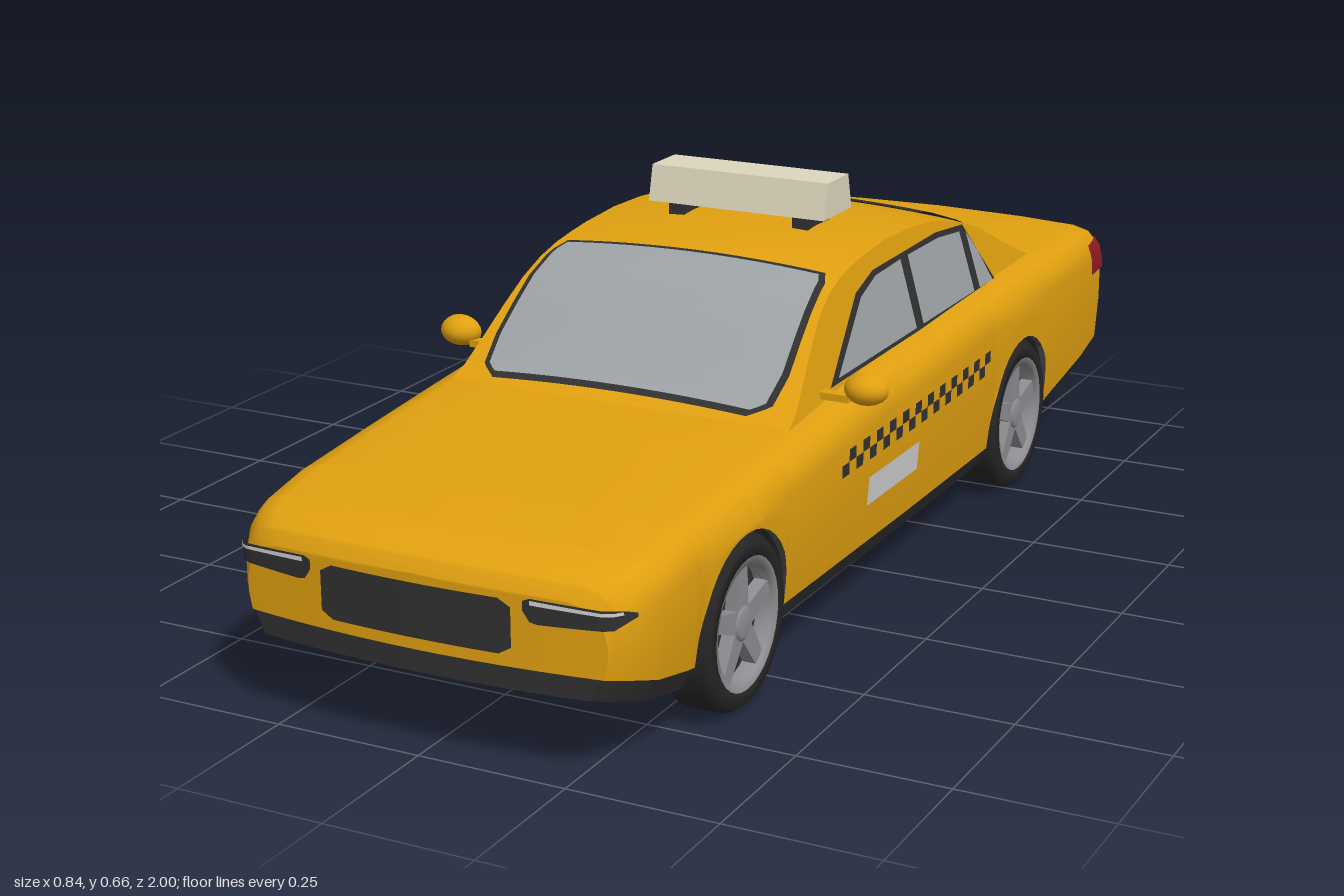
import * as THREE from 'three';

const mat = (name, color) => {
  const m = new THREE.MeshStandardMaterial({ color, side: THREE.DoubleSide });
  m.name = name;
  return m;
};

// Linear lookup in a table of [position, value], positions falling
function look(t, p) {
  if (p >= t[0][0]) return t[0][1];
  for (let i = 1; i < t.length; i++) {
    if (p >= t[i][0]) {
      const [a, b] = [t[i - 1], t[i]];
      return b[1] + (a[1] - b[1]) * (p - b[0]) / (a[0] - b[0] || 1);
    }
  }
  return t[t.length - 1][1];
}

// Surface through rows of points
function skin(rows) {
  const n = rows[0].length, idx = [];
  for (let i = 0; i < rows.length - 1; i++) for (let j = 0; j < n - 1; j++) {
    const a = i * n + j, b = a + n;
    idx.push(a, b, b + 1, a, b + 1, a + 1);
  }
  const g = new THREE.BufferGeometry();
  g.setAttribute('position', new THREE.Float32BufferAttribute(rows.flat(2), 3));
  g.setIndex(idx);
  g.computeVertexNormals();
  return g;
}
const steps = (n) => Array.from({ length: n + 1 }, (_, i) => i / n);
const sheet = (nu, nv, f) => skin(steps(nu).map(u => steps(nv).map(v => f(u, v))));

// Body measures along z
const WIDTH = [[1, .31], [.985, .325], [.965, .337], [.92, .35], [.8, .358], [.6, .363], [0, .367], [-.6, .365], [-.9, .36], [-1, .353]];
const TOP = [[1, .283], [.99, .303], [.965, .317], [.92, .328], [.8, .341], [.6, .355], [.4, .37], [.1, .39], [-.3, .399], [-.7, .405], [-.95, .402], [-1, .394]];
const BOTTOM = [[1, .135], [.9, .105], [.75, .082], [-.65, .08], [-1, .13]];
const SKIRT = [[1, .17], [.9, .142], [.75, .118], [-.65, .115], [-1, .17]];
const ROOF = [[.41, .37], [.35, .4], [.3, .44], [.25, .482], [.2, .52], [.15, .545], [.1, .56], [.05, .568], [0, .574], [-.1, .58], [-.2, .577], [-.3, .567], [-.4, .547], [-.5, .512], [-.6, .462], [-.68, .426], [-.76, .4]];
const AXLES = [.63, -.53], ARCH = .148, HUB = .14;

const archY = (s) => Math.max(0, ...AXLES.map(c => Math.abs(s - c) < .1478 ? HUB + Math.sqrt(ARCH ** 2 - (s - c) ** 2) : 0));
const skirtY = (s) => Math.max(look(SKIRT, s), archY(s));
const bottomY = (s) => Math.max(look(BOTTOM, s), archY(s));
// Bowed nose and tail
const bow = (s, x) => s - .25 * x * x * THREE.MathUtils.smoothstep(s, .78, .98) + .1 * x * x * THREE.MathUtils.smoothstep(-s, .85, .98);

// Half section of the painted body, from sill to centre line
function section(s) {
  const w = look(WIDTH, s), k = skirtY(s), t = look(TOP, s);
  const tuck = .012 * THREE.MathUtils.clamp((.22 - k) / .1, 0, 1);
  return [[w - tuck, k], [w, (k + t - .06) / 2], [w, t - .06], [w - .008, t - .03], [w - .028, t - .008], [w - .06, t], [w * .5, t + .004], [0, t + .006]]
    .map(([x, y]) => [x, Math.max(y, k)]);
}
const skirtSection = (s) => [[look(WIDTH, s) - .03, bottomY(s)], [look(WIDTH, s) - .012, skirtY(s)]];
const sideAt = (s, y) => look(section(s).map(([x, h]) => [h, x]).reverse(), y);
const full = (half) => [...half, ...half.slice(0, -1).reverse().map(([x, y]) => [-x, y])];
const cap = (half, s) => skin(half.map(([x, y]) => steps(12).map(u => [x * (2 * u - 1), y, bow(s, x * (2 * u - 1))])));

// Greenhouse surfaces
const pillarX = (y) => .305 - (y - .4) * .24;
const CROWN = .014;
const edgeX = (z) => pillarX(look(ROOF, z) - CROWN);
const roofAt = (z, x) => look(ROOF, z) - CROWN * (x / edgeX(z)) ** 2;

export function createModel() {
  const car = new THREE.Group();
  car.name = 'taxi';
  const paint = mat('yellow paint', 0xe0a010), trim = mat('black trim', 0x303030), rubber = mat('tyre rubber', 0x262626);
  const glass = mat('grey glass', 0x9da2a5), metal = mat('wheel metal', 0x8e8e92), pale = mat('pale panel', 0xd0d0d0);
  const red = mat('tail light red', 0x8c1c22), cream = mat('sign cream', 0xddd6bd);
  const add = (name, geo, m, parent = car) => {
    const mesh = new THREE.Mesh(geo, m);
    mesh.name = name;
    parent.add(mesh);
    return mesh;
  };

  // Lower body with open wheel arches
  const stations = [...WIDTH, ...TOP, ...BOTTOM].map(p => p[0]);
  for (const c of AXLES) {
    steps(18).forEach(a => stations.push(c + .1476 * Math.cos(a * Math.PI)));
    stations.push(c + .1482, c - .1482);
  }
  const ss = [...new Set(stations)].sort((a, b) => b - a);
  const at = (s, pts) => pts.map(([x, y]) => [x, y, bow(s, x)]);
  add('bodyShell', skin(ss.map(s => at(s, full(section(s))))), paint);
  add('nosePanel', cap(section(1), 1), paint);
  add('tailPanel', cap(section(-1), -1), paint);
  for (const m of [1, -1]) add('sideSkirt', skin(ss.map(s => at(s, skirtSection(s).map(([x, y]) => [x * m, y])))), trim);
  add('frontBumper', cap(skirtSection(1), 1), trim);
  add('rearBumper', cap(skirtSection(-1), -1), trim);
  add('floor', skin(ss.map(s => steps(8).map(u => {
    const x = (2 * u - 1) * (look(WIDTH, s) - .03);
    return [x, bottomY(s), bow(s, x)];
  }))), trim);
  add('underbody', new THREE.BoxGeometry(.52, .2, 1.44), trim).position.set(0, .182, .03);

  // Cabin
  const zs = ROOF.map(p => p[0]);
  add('roof', skin(zs.map(z => steps(16).map(u => {
    const x = edgeX(z) * (1 - 2 * u);
    return [x, roofAt(z, x), z];
  }))), paint);
  for (const m of [1, -1]) add('cabinSide', skin(zs.map(z => [.35, look(ROOF, z) - CROWN].map(y => [m * pillarX(y), y, z]))), paint);

  // Windscreen and rear window follow the roof surface
  const screen = (name, table, inset, lift, m) => {
    const z0 = table[0][0] - inset, z1 = table[table.length - 1][0] + inset;
    add(name, sheet(28, 12, (u, v) => {
      const z = z0 + (z1 - z0) * u, x = (look(table, z) - inset) * (1 - 2 * v);
      return [x, roofAt(z, x) + lift, z + (z > 0 ? lift / 2 : -lift / 2)];
    }), m);
  };
  const front = [[.378, .235], [.35, .268], [.3, .274], [.2, .266], [.13, .258], [.1, .245]];
  screen('windscreenFrame', front, 0, .004, trim);
  screen('windscreen', front, .011, .007, glass);
  screen('rearWindow', [[-.355, .215], [-.5, .24], [-.67, .262], [-.71, .255], [-.74, .2]], 0, .005, trim);

  // Flat plates on the cabin sides, outlines in (z, y)
  const sidePlate = (name, pts, lift, m) => {
    for (const k of [1, -1]) {
      const g = new THREE.ShapeGeometry(new THREE.Shape(pts.map(p => new THREE.Vector2(...p))));
      const p = g.attributes.position;
      for (let i = 0; i < p.count; i++) p.setXYZ(i, k * (pillarX(p.getY(i)) + lift), p.getY(i), p.getX(i));
      g.computeVertexNormals();
      add(name, g, m);
    }
  };
  sidePlate('sideWindowFrame', [[.22, .394], [.06, .512], [-.02, .532], [-.3, .534], [-.42, .522], [-.52, .396]], .004, trim);
  sidePlate('frontSideWindow', [[.19, .403], [.05, .503], [-.02, .523], [-.13, .526], [-.14, .403]], .007, glass);
  sidePlate('rearSideWindow', [[-.17, .403], [-.162, .526], [-.3, .525], [-.395, .515], [-.41, .403]], .007, glass);
  sidePlate('quarterWindow', [[-.437, .403], [-.422, .51], [-.46, .465], [-.5, .403]], .007, glass);

  // Chequer band and door panel
  const doorPlate = (name, z, y, dz, dy, m) => {
    for (const k of [1, -1]) add(name, sheet(1, 1, (u, v) => {
      const zz = z - dz * u, yy = y + dy * v;
      return [k * (sideAt(zz, yy) + .003), yy, zz];
    }), m);
  };
  for (let i = 0; i < 24; i++) doorPlate('chequer', .297 - i * .027, i % 2 ? .292 : .271, .027, .021, trim);
  doorPlate('doorPanel', .19, .19, .21, .05, pale);

  // Grille and headlights follow the bowed nose
  const noseZ = (x) => bow(1, x) - .035 * Math.max(0, (Math.abs(x) - .31) / .027) + .004;
  add('grille', sheet(16, 1, (u, v) => {
    const x = .163 * (1 - 2 * u), r = Math.max(0, Math.abs(x) - .15) * .9;
    return [x, v ? .276 - r : .19 + r, noseZ(x)];
  }), trim);
  for (const k of [1, -1]) {
    const lamp = (name, x0, x1, lo, hi, lift, m) => add(name, sheet(14, 1, (u, v) => {
      const x = x0 + (x1 - x0) * u;
      return [k * (x + (x > .31 ? .004 : 0)), look(v ? hi : lo, x), noseZ(x) + lift];
    }), m);
    lamp('headlightHousing', .182, .337, [[.337, .262], [.315, .247], [.195, .243], [.182, .262]], [[.337, .268], [.32, .277], [.19, .282], [.182, .277]], 0, trim);
    lamp('headlightStrip', .195, .325, [[.325, .269], [.195, .273]], [[.325, .274], [.195, .28]], .003, pale);

    // Tail lights wrap round the rear corners
    add('tailLightRear', sheet(6, 4, (u, v) => {
      const y = .315 + .06 * v, x = .235 + (sideAt(-1, y) + .003 - .235) * u;
      return [k * x, y, bow(-1, x) - .004];
    }), red);
    add('tailLightSide', sheet(5, 4, (u, v) => {
      const y = .315 + .06 * v, s = -.925 - .075 * u, x = sideAt(s, y);
      return [k * (x + .003), y, bow(s, x) - .004 * u];
    }), red);

    // Door mirrors
    const mirror = new THREE.Group();
    mirror.name = 'doorMirror';
    mirror.position.set(k * .382, .408, .235);
    car.add(mirror);
    add('mirrorShell', new THREE.SphereGeometry(1, 20, 12, 0, Math.PI), paint, mirror).scale.set(.038, .027, .036);
    add('mirrorGlass', new THREE.CircleGeometry(1, 20).rotateY(Math.PI), pale, mirror).scale.set(.038, .027, 1);
    add('mirrorArm', new THREE.BoxGeometry(.07, .012, .02), paint, mirror).position.set(-k * .06, -.017, .01);

    // Wheels
    for (const z of AXLES) {
      const wheel = new THREE.Group();
      wheel.name = 'wheel';
      wheel.position.set(k * .318, HUB, z);
      wheel.rotation.y = k > 0 ? 0 : Math.PI;
      car.add(wheel);
      const turn = (name, pts, m) => add(name, new THREE.LatheGeometry(pts.map(p => new THREE.Vector2(...p)), 32).rotateZ(-Math.PI / 2), m, wheel);
      turn('tyre', [[0, -.043], [.1, -.043], [.128, -.043], [.14, -.028], [.14, .03], [.128, .044], [.107, .044], [.104, .03]], rubber);
      turn('rimRing', [[.094, .012], [.094, .04], [.107, .044]], metal);
      turn('rimBack', [[.105, .012], [0, .012]], trim);
      turn('hub', [[.028, .012], [.028, .036], [.02, .04], [0, .04]], metal);
      for (let i = 0; i < 5; i++) {
        const a = new THREE.Shape([[-.019, .01], [.019, .01], [.013, .1], [-.013, .1]].map(p => new THREE.Vector2(...p)));
        const spoke = new THREE.ExtrudeGeometry(a, { depth: .022, bevelEnabled: false }).rotateY(Math.PI / 2);
        add('spoke', spoke.rotateX(i * Math.PI * .4).translate(.014, 0, 0), metal, wheel);
      }
    }
    add('signLeg', new THREE.BoxGeometry(.03, .03, .09), trim).position.set(k * .12, .588, -.11);
  }

  // Roof sign
  const wedge = new THREE.Shape([[.055, .597], [.17, .597], [.155, .66], [.07, .66]].map(p => new THREE.Vector2(...p)));
  add('roofSign', new THREE.ExtrudeGeometry(wedge, { depth: .34, bevelEnabled: false }).rotateY(Math.PI / 2).translate(-.17, 0, 0), cream);
  return car;
}
